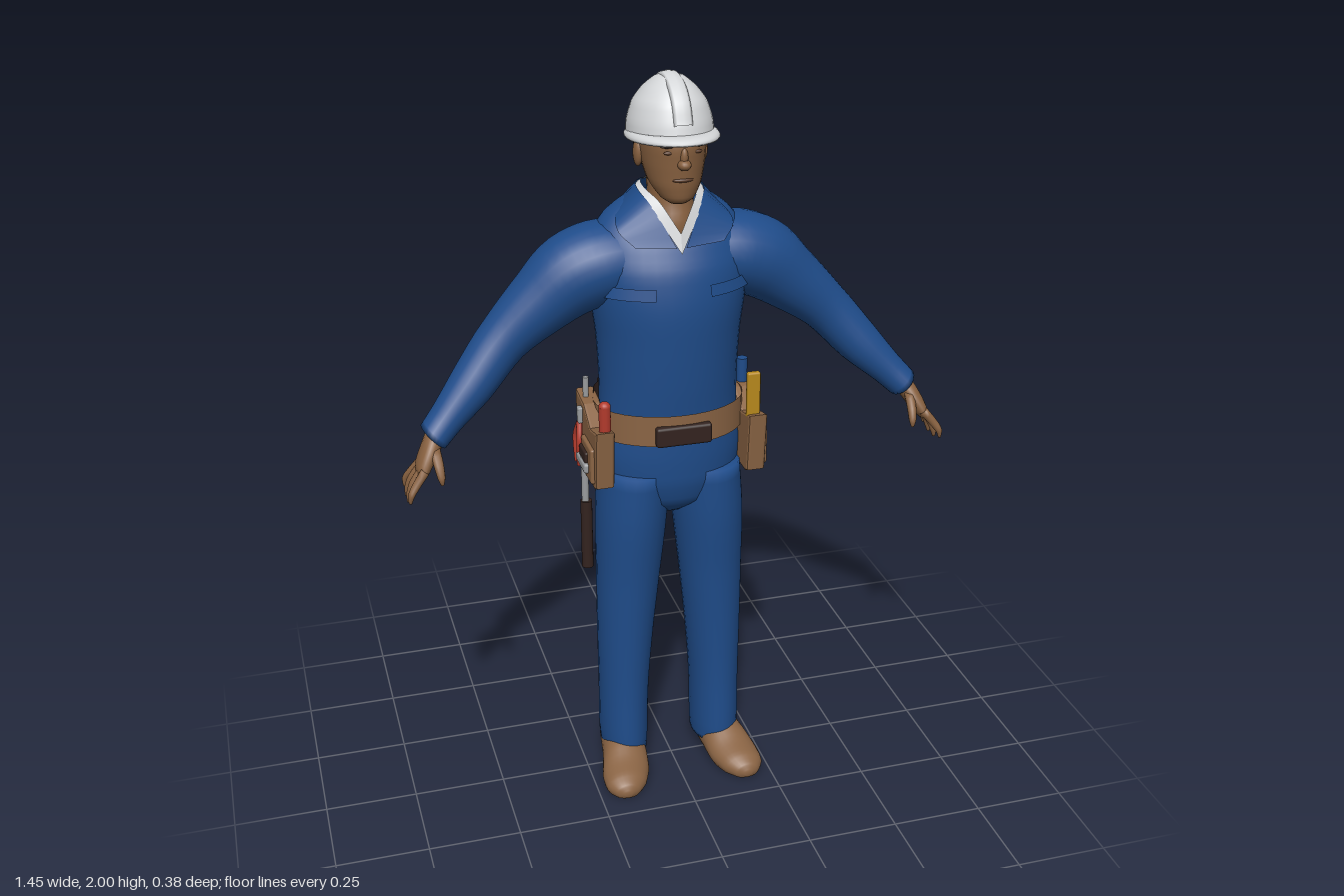
import * as THREE from 'three';
import { RoundedBoxGeometry } from 'three/addons/geometries/RoundedBoxGeometry.js';

const mat = (name, color) => Object.assign(new THREE.MeshStandardMaterial({ color, side: THREE.DoubleSide }), { name });
const V = (x, y, z) => new THREE.Vector3(x, y, z);

// Smooth skin over elliptical rings [x, y, z, a, b]; axis sets the ring plane
function loft(rings, axis = 'y', segs = 24, sub = 4) {
  const centre = new THREE.CatmullRomCurve3(rings.map(r => V(r[0], r[1], r[2])));
  const size = new THREE.CatmullRomCurve3(rings.map(r => V(r[3], r[4], 0)));
  const n = (rings.length - 1) * sub, pos = [], idx = [];
  for (let i = 0; i <= n; i++) {
    const c = centre.getPoint(i / n), s = size.getPoint(i / n);
    let u = V(0, 0, 1), v = V(1, 0, 0);
    if (axis === 'z') { u = V(1, 0, 0); v = V(0, 1, 0); }
    if (axis === 'limb') {
      const t = centre.getTangent(i / n);
      u = V(-t.y, t.x, 0).normalize(); v = V(0, 0, 1);
    }
    for (let j = 0; j < segs; j++) {
      const a = j / segs * Math.PI * 2;
      const p = c.clone().addScaledVector(u, Math.max(s.x, 0.001) * Math.cos(a)).addScaledVector(v, Math.max(s.y, 0.001) * Math.sin(a));
      pos.push(p.x, p.y, p.z);
    }
  }
  for (let i = 0; i < n; i++) for (let j = 0; j < segs; j++) {
    const k = (j + 1) % segs, a = i * segs + j, b = i * segs + k, c = a + segs, d = b + segs;
    idx.push(a, b, d, a, d, c);
  }
  const first = rings[0], last = rings[rings.length - 1], m = pos.length / 3;
  pos.push(first[0], first[1], first[2], last[0], last[1], last[2]);
  for (let j = 0; j < segs; j++) {
    const k = (j + 1) % segs;
    idx.push(m, k, j, m + 1, n * segs + j, n * segs + k);
  }
  return build(pos, idx);
}

function build(pos, idx) {
  const g = new THREE.BufferGeometry();
  g.setAttribute('position', new THREE.Float32BufferAttribute(pos, 3));
  g.setIndex(idx);
  g.computeVertexNormals();
  return g;
}

// Sheet stretched between two curves
function ruled(top, bottom, n = 16) {
  const [A, B] = [top, bottom].map(l => new THREE.CatmullRomCurve3(l.map(p => V(...p))));
  const pos = [], idx = [];
  for (let i = 0; i <= n; i++) {
    pos.push(...A.getPoint(i / n).toArray(), ...B.getPoint(i / n).toArray());
    if (i < n) idx.push(2 * i, 2 * i + 1, 2 * i + 2, 2 * i + 1, 2 * i + 3, 2 * i + 2);
  }
  return build(pos, idx);
}

// Curved strip wrapped round the body, angle 0 at the front
function band(y, h, rx, rz, z, from, to, flare = 1) {
  return new THREE.CylinderGeometry(1, flare, h, 24, 1, true, from, to - from).scale(rx, 1, rz).translate(0, y, z);
}

function mirror(geo) {
  const g = geo.clone();
  const src = g.index ? Array.from(g.index.array) : Array.from({ length: g.attributes.position.count }, (_, i) => i);
  for (let i = 0; i < src.length; i += 3) [src[i], src[i + 1]] = [src[i + 1], src[i]];
  g.scale(-1, 1, 1);
  g.setIndex(src);
  g.computeVertexNormals();
  return g;
}

export function createModel() {
  const root = new THREE.Group();
  root.name = 'worker';
  const blue = mat('coverallBlue', 0x1f4c8a), skin = mat('skin', 0x87603f), lips = mat('darkSkin', 0x5c3d2a);
  const leather = mat('leather', 0x8a6444), dark = mat('darkBrown', 0x33231f), white = mat('white', 0xd6d8da);
  const steel = mat('steel', 0x9a9c9e), red = mat('red', 0xb23a2c), yellow = mat('yellow', 0xb8891c);
  const add = (name, geo, m, parent = root) => {
    const mesh = new THREE.Mesh(geo, m);
    mesh.name = name;
    parent.add(mesh);
    return mesh;
  };
  const pair = (name, geo, m) => {
    add(name + 'Left', geo, m);
    add(name + 'Right', mirror(geo), m);
  };
  const ball = (x, y, z, sx, sy, sz) => new THREE.SphereGeometry(1, 16, 12).scale(sx, sy, sz).translate(x, y, z);
  const rod = (x, y0, y1, z, r) => new THREE.CylinderGeometry(r, r, y1 - y0, 12).translate(x, (y0 + y1) / 2, z);
  const box = (x, y, z, w, h, d) => new RoundedBoxGeometry(w, h, d, 2, Math.min(w, h, d) * 0.3).translate(x, y, z);

  // Coverall
  add('torso', loft([[0, 1.02, -.03, .138, .19], [0, 1.1, -.03, .14, .188], [0, 1.2, -.03, .15, .186], [0, 1.32, -.03, .158, .192],
    [0, 1.42, -.03, .16, .205], [0, 1.51, -.034, .15, .215], [0, 1.58, -.04, .125, .205], [0, 1.64, -.045, .095, .165],
    [0, 1.68, -.045, .07, .11], [0, 1.69, -.045, .03, .05]], 'y', 40), blue);
  add('hips', loft([[0, .81, -.025, .05, .05], [0, .86, -.025, .11, .15], [0, .93, -.028, .134, .19], [0, 1.0, -.03, .14, .197], [0, 1.07, -.03, .14, .19]], 'y', 36), blue);
  pair('trouserLeg', loft([[.135, .05, -.027, .094, .064], [.136, .1, -.027, .096, .068], [.134, .25, -.026, .092, .07], [.127, .45, -.023, .095, .079],
    [.118, .62, -.02, .102, .088], [.108, .8, -.02, .12, .097], [.098, .95, -.028, .133, .097]]), blue);
  pair('sleeve', loft([[.08, 1.53, -.045, .09, .11], [.18, 1.515, -.045, .108, .118], [.25, 1.49, -.042, .108, .108], [.33, 1.43, -.04, .09, .09],
    [.435, 1.34, -.03, .068, .07], [.525, 1.24, 0, .06, .063], [.6, 1.165, .03, .046, .052], [.64, 1.125, .048, .042, .05]], 'limb'), blue);
  const collarTop = [[0, 1.715, -.105], [.07, 1.715, -.07], [.085, 1.71, 0], [.065, 1.68, .05], [.012, 1.58, .1]];
  pair('collar', ruled(collarTop, [[0, 1.66, -.145], [.1, 1.66, -.11], [.14, 1.65, -.02], [.15, 1.62, .05], [.115, 1.585, .085]]), blue);
  pair('undershirt', ruled([[0, 1.72, -.09], [.06, 1.72, -.06], [.07, 1.715, 0], [.045, 1.69, .055], [0, 1.615, .092]],
    [[0, 1.712, -.104], [.069, 1.712, -.069], [.084, 1.705, 0], [.066, 1.675, .052], [0, 1.565, .104]]), white);
  pair('pocketFlap', band(1.468, .03, .216, .158, -.032, .33, 1.05, 1.035), blue);

  // Boots with flat soles
  const boot = loft([[.14, .04, -.113, .02, .025], [.14, .045, -.095, .05, .055], [.142, .05, -.03, .06, .062], [.15, .045, .04, .064, .06],
    [.162, .028, .1, .068, .048], [.172, .022, .15, .058, .038], [.176, .018, .18, .034, .024], [.177, .016, .19, .01, .008]], 'z');
  const bp = boot.attributes.position;
  for (let i = 0; i < bp.count; i++) bp.setY(i, Math.max(0, bp.getY(i)));
  boot.computeVertexNormals();
  pair('boot', boot, leather);

  // Hands
  pair('palm', loft([[.63, 1.14, .05, .026, .034], [.652, 1.105, .07, .024, .042], [.675, 1.065, .085, .02, .046], [.684, 1.045, .09, .012, .042]], 'limb', 16), skin);
  for (let i = 0; i < 4; i++) {
    const z = .053 + .024 * i, dz = (i - 1.5) * .012, drop = [.012, 0, 0, .012][i];
    pair('finger' + (i + 1), loft([[.676, 1.065, z, .012, .013], [.704, 1.03, z + dz * .6, .011, .011],
      [.716, 1.0 + drop, z + dz, .009, .009], [.72, .978 + drop, z + dz, .004, .004]], 'limb', 10, 3), skin);
  }
  pair('thumb', loft([[.645, 1.11, .09, .014, .018], [.641, 1.08, .122, .013, .015], [.638, 1.05, .14, .01, .011], [.637, 1.032, .145, .004, .004]], 'limb', 10, 3), skin);

  // Head
  add('neck', loft([[0, 1.57, 0, .07, .06], [0, 1.63, -.002, .074, .062], [0, 1.69, -.008, .064, .058], [0, 1.78, -.02, .07, .06]]), skin);
  add('head', loft([[0, 1.69, .065, .02, .022], [0, 1.703, .055, .05, .042], [0, 1.74, .03, .083, .066], [0, 1.79, .012, .105, .079],
    [0, 1.84, .005, .115, .084], [0, 1.9, 0, .105, .082], [0, 1.94, 0, .06, .05]], 'y', 28), skin);
  add('nose', ball(0, 1.797, .118, .017, .014, .02), skin);
  add('noseBridge', ball(0, 1.815, .116, .01, .025, .012), skin);
  add('mouth', ball(0, 1.757, .104, .028, .007, .013), lips);
  pair('eye', ball(.034, 1.826, .106, .015, .005, .006), lips);
  pair('brow', ball(.036, 1.843, .108, .022, .005, .006), dark);
  pair('ear', ball(.084, 1.803, -.005, .012, .034, .021), skin);
  add('hair', loft([[0, 1.742, -.05, .04, .045], [0, 1.765, -.046, .068, .066], [0, 1.81, -.04, .08, .083], [0, 1.85, -.038, .088, .089], [0, 1.89, -.03, .08, .08]]), dark);

  // Hard hat, tilted slightly back
  const hat = new THREE.Group();
  hat.name = 'hardHat';
  hat.position.set(0, 1.852, 0);
  hat.rotation.x = -.08;
  root.add(hat);
  add('hatDome', loft([[0, -.005, -.012, .135, .109], [0, .03, -.012, .129, .106], [0, .075, -.01, .112, .092], [0, .11, -.008, .083, .066],
    [0, .135, -.005, .045, .035], [0, .143, -.005, .008, .008]], 'y', 36), white, hat);
  add('hatBrim', loft([[0, -.012, .006, .156, .112], [0, -.006, .006, .161, .116], [0, .003, .004, .152, .112], [0, .008, 0, .13, .106]], 'y', 36, 2), white, hat);
  const ridge = new THREE.CatmullRomCurve3([V(0, .03, .114), V(0, .08, .096), V(0, .12, .055), V(0, .138, -.005), V(0, .12, -.065), V(0, .07, -.112)]);
  add('hatRidge', new THREE.TubeGeometry(ridge, 24, .01, 8).scale(2.4, 1, 1), white, hat);

  // Tool belt
  add('beltFront', band(1.092, .085, .203, .153, -.03, -1.95, 1.95), leather);
  add('beltBack', band(1.112, .085, .202, .157, -.032, 1.85, Math.PI * 2 - 1.85), dark);
  for (const a of [2.3, 2.8, 3.5, 4.0]) add('beltLoop', band(1.112, .095, .207, .162, -.032, a, a + .12), dark);
  add('buckle', box(0, 1.08, .122, .15, .055, .025), dark);
  const side = new THREE.Shape([[-.11, 1.1], [-.095, .945], [-.08, .938], [.09, .945], [.1, .97], [.11, 1.135], [.03, 1.125], [-.04, 1.085]].map(p => new THREE.Vector2(...p)));
  const pouch = new THREE.ExtrudeGeometry(side, { depth: .035, bevelSize: .006, bevelThickness: .008, bevelSegments: 2 }).rotateY(Math.PI / 2).translate(.19, 0, 0);
  pair('pouch', pouch, leather);
  pair('pouchPocket', box(.232, 1.0, .035, .022, .1, .11), leather);

  // Tools on the left side
  add('ruler', box(.2, 1.15, .088, .036, .14, .018), yellow);
  add('pencil', rod(.222, 1.05, 1.2, .06, .008), yellow);
  add('driverHandle', rod(.218, 1.09, 1.2, -.062, .015), blue);
  add('wrench', box(.244, .962, -.045, .012, .016, .1), steel);
  add('wrenchEnd', new THREE.TorusGeometry(.014, .006, 8, 16).rotateY(Math.PI / 2).translate(.245, .962, .01), steel);
  add('wrenchStrap', box(.24, .965, -.06, .02, .024, .018), dark);

  // Tools on the right side
  add('redHandle', rod(-.203, 1.03, 1.17, .09, .016), red);
  add('redHandleTip', ball(-.203, 1.17, .09, .016, .014, .016), red);
  for (const s of [-1, 1]) {
    const grip = new THREE.CatmullRomCurve3([V(-.24, 1.075, -.045), V(-.246, 1.03, -.045 + s * .022), V(-.245, .955, -.045 + s * .014)]);
    add('plierGrip', new THREE.TubeGeometry(grip, 10, .008, 8), red);
  }
  add('plierJaw', box(-.238, 1.095, -.045, .014, .045, .022), steel);
  add('driverShaft', rod(-.215, 1.09, 1.19, -.07, .008), steel);
  add('hammerHolder', box(-.24, 1.01, .02, .02, .035, .07), dark);
  add('hammerShaft', rod(-.242, .86, 1.0, .015, .01), steel);
  add('hammerHead', box(-.242, .985, .015, .026, .028, .1), steel);
  add('hammerGrip', rod(-.24, .67, .87, .015, .016), dark);
  return root;
}
